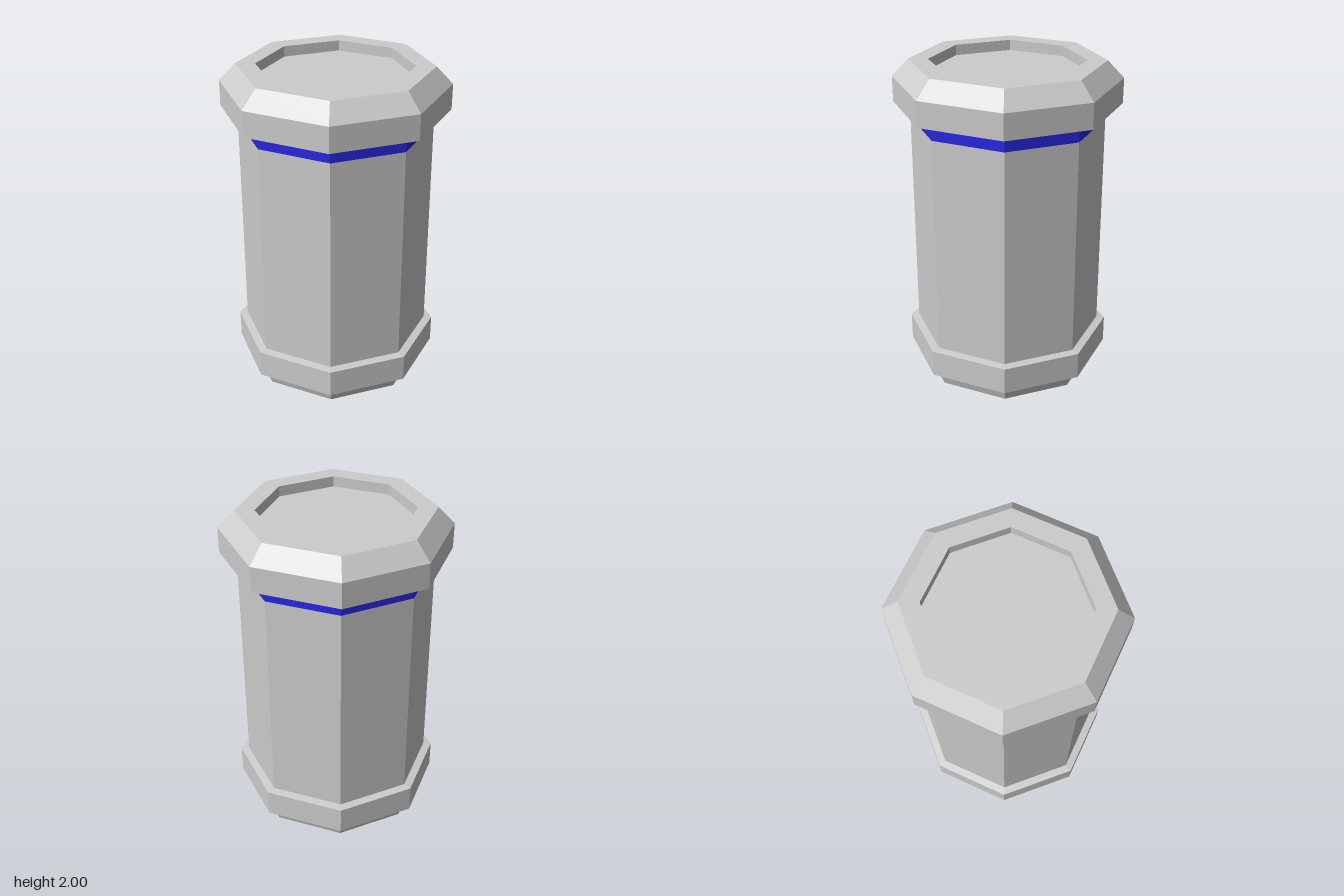
import * as THREE from 'three';

const grey = new THREE.MeshStandardMaterial({ color: 0xcccccc, flatShading: true });
const blue = new THREE.MeshStandardMaterial({ color: 0x2826e0, flatShading: true });

// Eight-sided turned part; profile is [radius, height] pairs, with corners on the x and z axes
function turned(name, profile, material) {
  const points = profile.map(([r, y]) => new THREE.Vector2(r, y));
  const geometry = new THREE.LatheGeometry(points, 8).toNonIndexed();
  geometry.computeVertexNormals();
  const mesh = new THREE.Mesh(geometry, material);
  mesh.name = name;
  return mesh;
}

export function createModel() {
  const model = new THREE.Group();
  model.name = 'canister';

  // Tapered foot with closed underside
  model.add(turned('foot', [[0, 0], [0.55, 0], [0.585, 0.1]], grey));

  // Raised band around the base
  model.add(turned('baseBand', [[0.585, 0.097], [0.635, 0.1], [0.635, 0.27], [0.585, 0.277]], grey));

  // Straight body wall
  model.add(turned('body', [[0.585, 0.275], [0.585, 1.64]], grey));

  // Coloured stripe under the lid
  model.add(turned('stripe', [[0.585, 1.64], [0.585, 1.74]], blue));

  // Bevelled lid with a recessed top
  model.add(turned('lid', [
    [0.585, 1.74], [0.685, 1.74], [0.685, 1.895], [0.585, 2],
    [0.467, 2], [0.467, 1.935], [0, 1.935],
  ], grey));

  return model;
}
